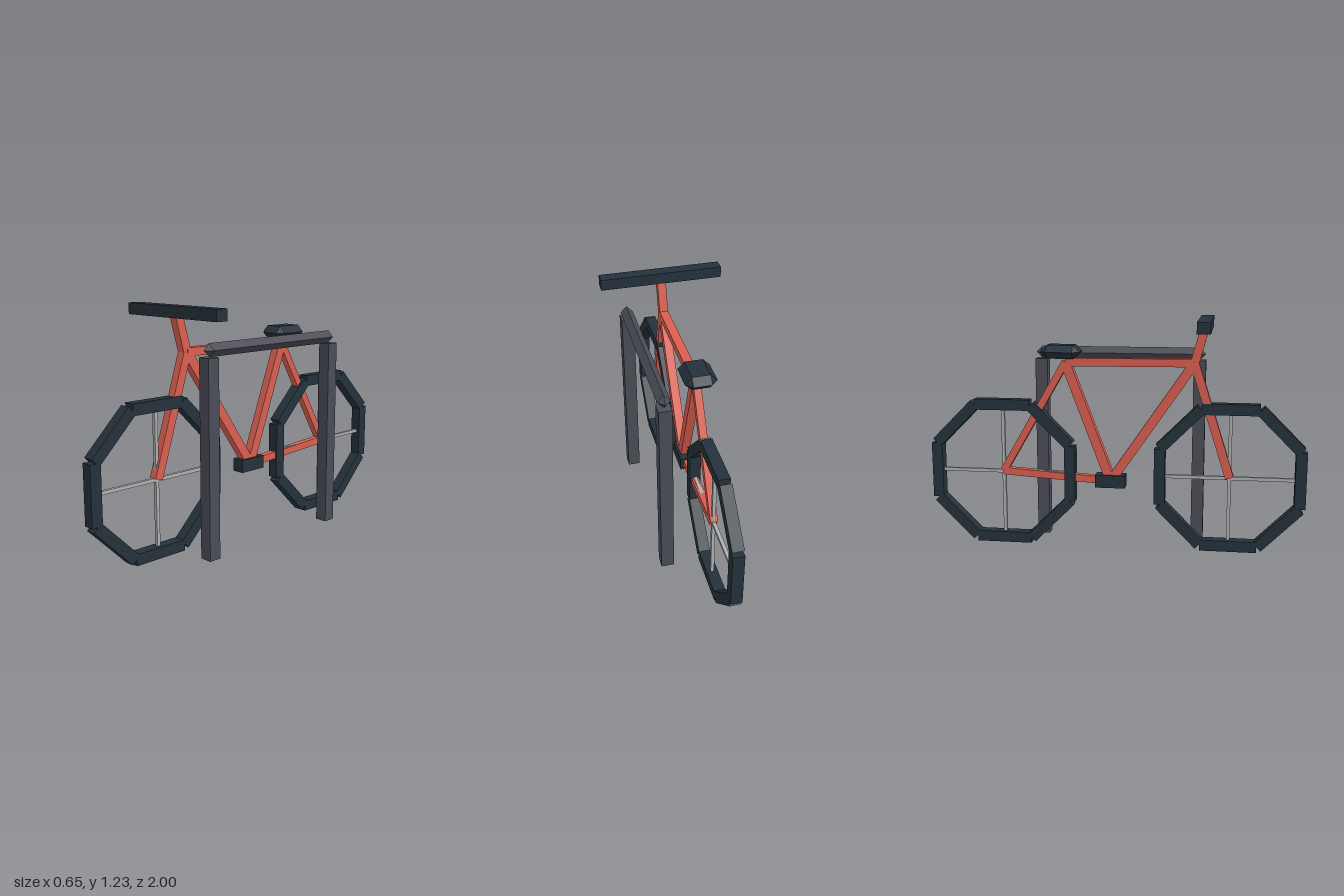
import * as THREE from 'three';
import { ConvexGeometry } from 'three/addons/geometries/ConvexGeometry.js';

const flat = (name, color) => {
  const m = new THREE.MeshStandardMaterial({ color });
  m.name = name;
  return m;
};

export function createModel() {
  const red = flat('frame red', 0xd95f50);
  const dark = flat('rubber dark', 0x24313b);
  const grey = flat('stand grey', 0x4b4d57);
  const silver = flat('spoke silver', 0xb0b2b2);
  const bike = new THREE.Group();
  bike.name = 'bicycle';

  const add = (name, geometry, material, x, y, z, parent = bike) => {
    const mesh = new THREE.Mesh(geometry, material);
    mesh.name = name;
    mesh.position.set(x, y, z);
    parent.add(mesh);
    return mesh;
  };
  const box = (name, w, h, d, material, x, y, z, parent) =>
    add(name, new THREE.BoxGeometry(w, h, d), material, x, y, z, parent);

  // Square tube between two [y, z] points in the middle plane
  const tube = (name, [y0, z0], [y1, z1], w, t) => {
    const mesh = box(name, w, t, Math.hypot(y1 - y0, z1 - z0), red, 0, (y0 + y1) / 2, (z0 + z1) / 2);
    mesh.rotation.x = -Math.atan2(y1 - y0, z1 - z0);
  };

  // Box with chamfered edges: each face inset by c on its two other axes
  const chamferBox = (a, b, d, c) => {
    const points = [];
    for (const i of [-1, 1]) for (const j of [-1, 1]) for (const k of [-1, 1]) {
      points.push(new THREE.Vector3(i * a, j * (b - c), k * (d - c)));
      points.push(new THREE.Vector3(i * (a - c), j * b, k * (d - c)));
      points.push(new THREE.Vector3(i * (a - c), j * (b - c), k * d));
    }
    return new ConvexGeometry(points);
  };

  // Wheels: eight straight tyre blocks and two crossed spokes
  for (const [name, z] of [['frontWheel', 0.606], ['rearWheel', -0.606]]) {
    const wheel = new THREE.Group();
    wheel.name = name;
    wheel.position.set(0, 0.397, z);
    bike.add(wheel);
    for (let i = 0; i < 8; i++) {
      const a = (i * Math.PI) / 4;
      const block = box('tyreBlock', 0.058, 0.058, 0.3, dark, 0, 0.366 * Math.cos(a), 0.366 * Math.sin(a), wheel);
      block.rotation.x = a;
    }
    box('spoke', 0.018, 0.018, 0.72, silver, 0, 0, 0, wheel);
    box('spoke', 0.018, 0.72, 0.018, silver, 0, 0, 0, wheel);
  }

  // Frame tubes
  const crank = [0.363, -0.02], head = [1.0, 0.415], seatTop = [0.995, -0.26], rearAxle = [0.4, -0.606];
  tube('fork', [0.4, 0.606], head, 0.045, 0.045);
  tube('stem', head, [1.19, 0.467], 0.045, 0.045);
  tube('downTube', crank, head, 0.046, 0.05);
  tube('seatTube', crank, seatTop, 0.046, 0.05);
  tube('topTube', head, seatTop, 0.046, 0.042);
  tube('seatStay', seatTop, rearAxle, 0.038, 0.038);
  tube('chainStay', crank, rearAxle, 0.038, 0.038);

  // Controls, crank housing and saddle
  box('handlebar', 0.65, 0.058, 0.067, dark, 0, 1.198, 0.468);
  box('crankHousing', 0.07, 0.068, 0.16, dark, 0, 0.363, -0.022);
  add('saddle', chamferBox(0.08, 0.035, 0.105, 0.0349), dark, 0, 1.05, -0.284);

  // Parking stand on the left side
  for (const z of [0.434, -0.429]) box('standPost', 0.066, 0.993, 0.066, grey, 0.197, 0.4965, z);
  add('standRail', chamferBox(0.033, 0.033, 0.464, 0.0329), grey, 0.197, 1.027, 0.002);

  return bike;
}
